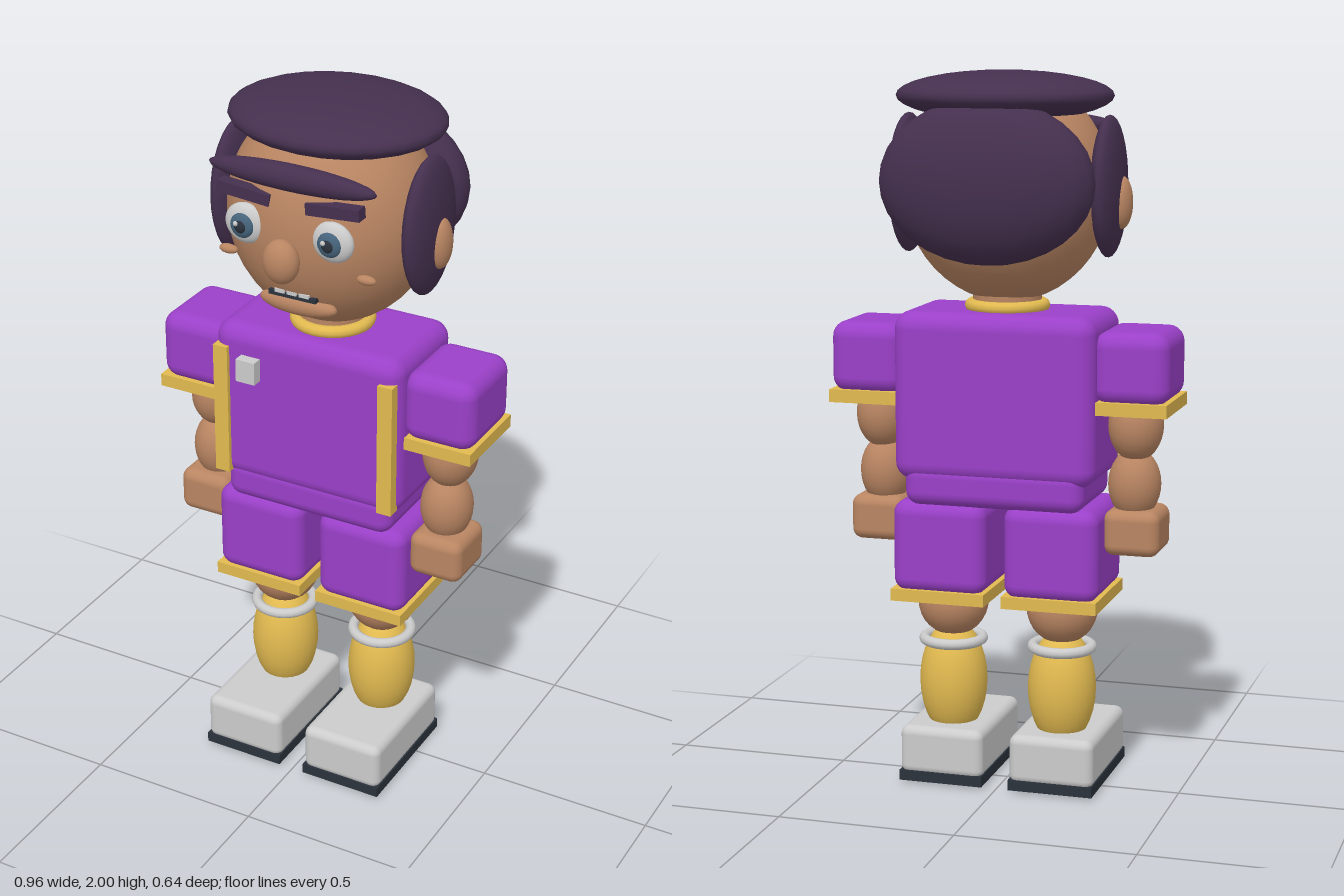
import * as THREE from 'three';
import { RoundedBoxGeometry } from 'three/addons/geometries/RoundedBoxGeometry.js';

const mat = (color) => new THREE.MeshStandardMaterial({ color });
const skin = mat(0xb98562), hair = mat(0x45304f), purple = mat(0x9a40c8), gold = mat(0xe2ba50);
const grey = mat(0xcccccc), dark = mat(0x2b323c), white = mat(0xe6e6e6), iris = mat(0x46647c);

export function createModel() {
  const model = new THREE.Group();

  const add = (name, geometry, material, pos, parent = model) => {
    const mesh = new THREE.Mesh(geometry, material);
    mesh.name = name;
    mesh.position.set(...pos);
    parent.add(mesh);
    return mesh;
  };
  // ellipsoid from three radii
  const ball = (name, material, pos, radii, parent, seg = 24) =>
    add(name, new THREE.SphereGeometry(1, seg, Math.round(seg * 0.67)).scale(...radii), material, pos, parent);
  const box = (name, material, pos, size, parent) =>
    add(name, new THREE.BoxGeometry(...size), material, pos, parent);
  const soft = (name, material, pos, size, radius, parent) =>
    add(name, new RoundedBoxGeometry(...size, 4, radius), material, pos, parent);
  // horizontal ring
  const ring = (name, material, pos, radius, tube, parent) =>
    add(name, new THREE.TorusGeometry(radius, tube, 10, 28).rotateX(Math.PI / 2), material, pos, parent);

  // Torso
  soft('shirt', purple, [0, 1.115, 0], [0.57, 0.47, 0.335], 0.05);
  soft('waist', purple, [0, 0.87, 0], [0.51, 0.12, 0.325], 0.04);
  box('chestPatch', grey, [-0.163, 1.237, 0.182], [0.058, 0.066, 0.034]);
  ring('collar', gold, [0, 1.36, 0], 0.1, 0.018);
  add('neck', new THREE.CylinderGeometry(0.095, 0.095, 0.12, 24), skin, [0, 1.36, 0]);

  // Head and hair
  const head = new THREE.Group();
  head.name = 'head';
  model.add(head);
  ball('skull', skin, [0, 1.68, 0], [0.288, 0.31, 0.26], head, 36);
  ball('hairTop', hair, [0, 1.932, -0.025], [0.3, 0.068, 0.25], head);
  ball('hairBack', hair, [0, 1.71, -0.2], [0.3, 0.222, 0.12], head);
  ball('fringe', hair, [0, 1.845, 0.22], [0.245, 0.036, 0.035], head);
  ball('nose', skin, [0, 1.635, 0.278], [0.051, 0.061, 0.04], head);
  box('mouth', dark, [0, 1.513, 0.213], [0.14, 0.013, 0.024], head);
  ball('lip', skin, [0, 1.48, 0.19], [0.115, 0.032, 0.03], head);
  for (const x of [-0.036, 0, 0.036])
    box('tooth', white, [x, 1.522, 0.215], [0.03, 0.01, 0.024], head);

  for (const s of [-1, 1]) {
    const side = s > 0 ? 'left' : 'right';

    // Face details
    ball(side + 'SideHair', hair, [s * 0.285, 1.69, 0.005], [0.042, 0.192, 0.133], head);
    ball(side + 'Ear', skin, [s * 0.32, 1.648, 0.005], [0.03, 0.072, 0.042], head);
    ball(side + 'Eye', white, [s * 0.128, 1.7, 0.235], [0.06, 0.056, 0.026], head);
    ball(side + 'Iris', iris, [s * 0.128, 1.7, 0.256], [0.034, 0.034, 0.014], head);
    ball(side + 'Pupil', dark, [s * 0.128, 1.7, 0.265], [0.018, 0.018, 0.01], head);
    ball(side + 'EyeGlint', white, [s * 0.128 - 0.009, 1.71, 0.274], [0.007, 0.007, 0.005], head, 10);
    ball(side + 'Cheek', skin, [s * 0.205, 1.595, 0.198], [0.028, 0.013, 0.014], head, 16);
    const brow = box(side + 'Brow', hair, [s * 0.13, 1.785, 0.228], [0.155, 0.032, 0.036], head);
    brow.rotation.z = s * 0.08;

    // Shirt stripe and sleeve
    box(side + 'Stripe', gold, [s * 0.252, 1.093, 0.16], [0.044, 0.388, 0.04]);
    soft(side + 'Sleeve', purple, [s * 0.375, 1.21, 0], [0.21, 0.2, 0.254], 0.045);
    box(side + 'SleeveTrim', gold, [s * 0.38, 1.102, 0], [0.2, 0.036, 0.254]);

    // Arm
    ball(side + 'UpperArm', skin, [s * 0.366, 1.04, 0.005], [0.076, 0.1, 0.084]);
    ball(side + 'Forearm', skin, [s * 0.362, 0.875, 0.012], [0.073, 0.1, 0.076]);
    soft(side + 'Hand', skin, [s * 0.367, 0.746, 0.02], [0.157, 0.128, 0.172], 0.03);

    // Leg
    const x = s * 0.16;
    soft(side + 'ShortsLeg', purple, [x, 0.69, 0], [0.268, 0.26, 0.306], 0.04);
    box(side + 'ShortsTrim', gold, [x, 0.552, 0], [0.27, 0.034, 0.306]);
    ball(side + 'Knee', skin, [x, 0.51, 0], [0.1, 0.1, 0.1]);
    ring(side + 'SockCuff', grey, [x, 0.4, 0], 0.083, 0.015);
    ball(side + 'Sock', gold, [x, 0.28, 0], [0.096, 0.17, 0.098]);

    // Shoe
    soft(side + 'Shoe', grey, [x, 0.095, 0.0625], [0.242, 0.14, 0.386], 0.025);
    box(side + 'Sole', dark, [x, 0.021, 0.0625], [0.242, 0.03, 0.386]);
    box(side + 'Tread', mat(0x666666), [x, 0.004, 0.0625], [0.215, 0.008, 0.35]);
  }
  return model;
}
